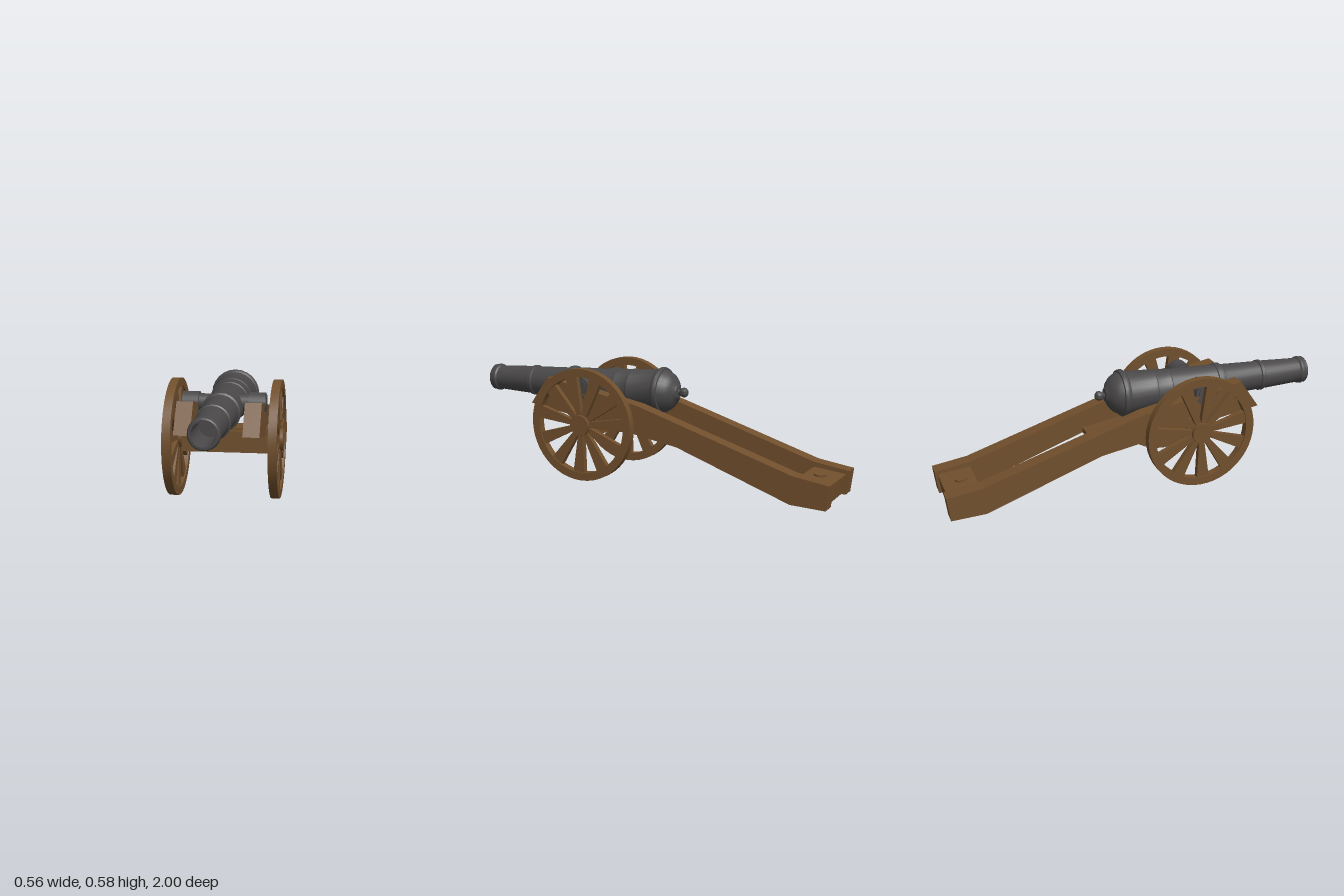
import * as THREE from 'three';
import { toCreasedNormals } from 'three/addons/utils/BufferGeometryUtils.js';

const wood = new THREE.MeshStandardMaterial({ color: 0x704f2c });
wood.name = 'brown wood';
const iron = new THREE.MeshStandardMaterial({ color: 0x4a4848 });
iron.name = 'dark iron';

function add(parent, name, geometry, material, x = 0, y = 0, z = 0) {
  const mesh = new THREE.Mesh(geometry, material);
  mesh.name = name;
  mesh.position.set(x, y, z);
  parent.add(mesh);
  return mesh;
}

// Extrudes a side profile of [z, y] points across x, centred on x = 0
function sideProfile(points, width) {
  const shape = new THREE.Shape(points.map(([z, y]) => new THREE.Vector2(z, y)));
  const geometry = new THREE.ExtrudeGeometry(shape, { depth: width, bevelEnabled: false });
  return geometry.translate(0, 0, -width / 2).rotateY(-Math.PI / 2);
}

// Cylinder lying along x
function crossCylinder(radius, length, sides, start = 0, sweep = Math.PI * 2) {
  const geometry = new THREE.CylinderGeometry(radius, radius, length, sides, 1, false, start, sweep);
  return geometry.rotateZ(Math.PI / 2);
}

function makeBarrel() {
  const group = new THREE.Group();
  group.name = 'barrel';
  // [radius, z] from the rear knob, along the outside, then into the bore
  const profile = [
    [0, -0.19], [0.013, -0.186], [0.023, -0.176], [0.025, -0.165], [0.021, -0.153], [0.013, -0.145],
    [0.015, -0.139], [0.034, -0.136], [0.042, -0.128], [0.066, -0.118], [0.09, -0.098], [0.105, -0.072],
    [0.109, -0.062], [0.118, -0.06], [0.122, -0.05], [0.122, -0.04], [0.117, -0.03], [0.111, -0.026],
    [0.102, 0.105], [0.104, 0.11], [0.104, 0.12], [0.1, 0.125],
    [0.096, 0.19], [0.098, 0.195], [0.098, 0.203], [0.093, 0.208],
    [0.087, 0.465], [0.092, 0.47], [0.094, 0.485], [0.092, 0.5], [0.084, 0.505], [0.082, 0.525],
    [0.075, 0.718], [0.081, 0.722], [0.081, 0.738], [0.075, 0.742],
    [0.065, 0.955], [0.072, 0.962], [0.073, 0.975], [0.07, 0.982], [0.07, 0.994], [0.064, 1],
    [0.054, 1], [0.052, 0.99], [0.052, 0.8], [0, 0.8],
  ];
  const lathe = new THREE.LatheGeometry(profile.map(([r, z]) => new THREE.Vector2(r, z)), 24);
  add(group, 'gunTube', toCreasedNormals(lathe.rotateX(Math.PI / 2), 0.6), iron, 0, 0.459, 0);
  add(group, 'trunnions', crossCylinder(0.042, 0.404, 20), iron, -0.003, 0.478, 0.34);
  return group;
}

function makeWheel() {
  const group = new THREE.Group();
  // Rim
  const ring = new THREE.Shape().absarc(0, 0, 0.288, 0, Math.PI * 2);
  ring.holes.push(new THREE.Path().absarc(0, 0, 0.247, 0, Math.PI * 2, true));
  const rim = new THREE.ExtrudeGeometry(ring, { depth: 0.041, bevelEnabled: false, curveSegments: 24 });
  rim.translate(0, 0, -0.0205).rotateY(-Math.PI / 2);
  add(group, 'rim', toCreasedNormals(rim, 0.5), wood);
  // Spokes that widen toward the rim
  const spoke = sideProfile([[-0.013, 0.04], [0.013, 0.04], [0.033, 0.252], [-0.033, 0.252]], 0.028);
  for (let i = 0; i < 11; i++) {
    const mesh = add(group, 'spoke', spoke, wood);
    mesh.rotation.x = Math.PI - 0.06 + (i * Math.PI * 2) / 11;
  }
  return group;
}

function makeCarriage() {
  const group = new THREE.Group();
  group.name = 'carriage';
  // Cheeks with the long trail, and iron caps over the trunnions
  const cheek = sideProfile([
    [0.63, 0.372], [0.53, 0.513], [0, 0.408], [-0.82, 0.147], [-1, 0.12],
    [-0.985, 0], [-0.81, 0.008], [-0.22, 0.22],
  ], 0.078);
  const cap = crossCylinder(0.06, 0.078, 16, Math.PI, Math.PI);
  for (const side of [-1, 1]) {
    const x = side * 0.159 - 0.003;
    add(group, 'cheek', cheek, wood, x);
    const capMesh = add(group, 'trunnionCap', cap, iron, x, 0.47, 0.34);
    capMesh.geometry = crossCylinder(0.06, 0.078, 24);
  }
  // Bed plank between the cheeks
  add(group, 'bed', sideProfile([[0.53, 0.353], [0.53, 0.378], [-0.22, 0.246], [-0.22, 0.221]], 0.242), wood, -0.003);
  // Tail block with a round peg on top
  add(group, 'tailBlock', sideProfile([
    [-0.82, 0.122], [-0.985, 0.104], [-0.972, 0.01], [-0.82, 0.014],
  ], 0.242), wood, -0.003);
  const peg = add(group, 'tailPeg', new THREE.CylinderGeometry(0.031, 0.031, 0.02, 16), wood, 0, 0.113, -0.89);
  peg.rotation.x = -0.1;
  // Axle
  add(group, 'axle', new THREE.BoxGeometry(0.428, 0.122, 0.12), wood, 0, 0.296, 0.29);
  return group;
}

export function createModel() {
  const model = new THREE.Group();
  model.name = 'cannon';
  model.add(makeBarrel(), makeCarriage());
  for (const side of [-1, 1]) {
    const wheel = makeWheel();
    wheel.name = side > 0 ? 'leftWheel' : 'rightWheel';
    wheel.position.set(side * 0.247, 0.295, 0.288);
    add(wheel, 'hub', crossCylinder(0.053, 0.068, 14), wood, side * -0.003);
    model.add(wheel);
  }
  return model;
}
